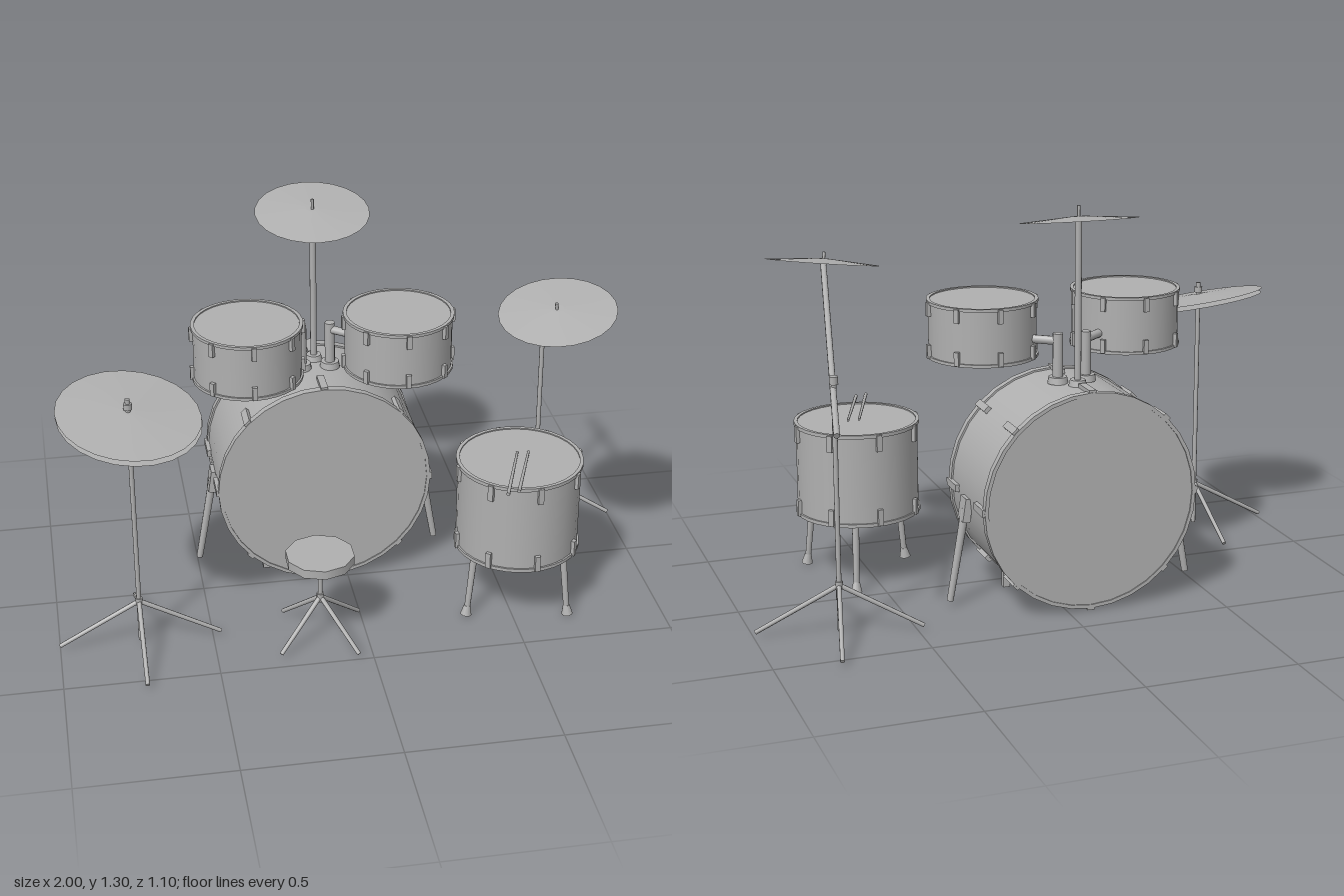
import * as THREE from 'three';

const grey = new THREE.MeshStandardMaterial({ color: 0xb0b0b0 });
grey.name = 'plain grey';
const V = (x, y, z) => new THREE.Vector3(x, y, z);
const UP = V(0, 1, 0);

function add(parent, geo, name, x = 0, y = 0, z = 0) {
  const m = new THREE.Mesh(geo, grey);
  m.name = name;
  m.position.set(x, y, z);
  parent.add(m);
  return m;
}

function group(parent, name, x = 0, y = 0, z = 0) {
  const g = new THREE.Group();
  g.name = name;
  g.position.set(x, y, z);
  parent.add(g);
  return g;
}

// Straight round bar between two points
function rod(parent, name, a, b, r0, r1 = r0, sides = 10) {
  const d = b.clone().sub(a);
  const m = add(parent, new THREE.CylinderGeometry(r1, r0, d.length(), sides), name);
  m.position.copy(a).addScaledVector(d, 0.5);
  m.quaternion.setFromUnitVectors(UP, d.normalize());
  return m;
}

// Drum along the y axis: shell with heads, two raised hoops and tension lugs
function drum(parent, name, r, h, hoop, lug, segs, turn = 0) {
  const g = group(parent, name);
  add(g, new THREE.CylinderGeometry(r - 0.006, r - 0.006, h - 0.008, segs), 'shell');
  const ring = new THREE.LatheGeometry([
    [r - 0.012, 0], [r, 0], [r, 0], [r, hoop], [r, hoop], [r - 0.012, hoop], [r - 0.012, hoop], [r - 0.012, 0],
  ].map(p => new THREE.Vector2(p[0], p[1])), segs);
  for (const s of [-1, 1]) {
    add(g, ring, 'hoop', 0, s > 0 ? h / 2 - hoop : -h / 2, 0);
    for (let i = 0; i < 8; i++) {
      const a = turn + i * Math.PI / 4;
      const m = add(g, new THREE.BoxGeometry(lug[0], lug[1], lug[2]), 'lug',
        Math.sin(a) * r, s * (h / 2 - lug[1] / 2 - 0.003), Math.cos(a) * r);
      m.rotation.y = a;
    }
  }
  return g;
}

// Shallow cone tilted so that height changes by a along x and b along z
function cymbal(parent, name, x, y, z, r, a, b, flip = false) {
  const g = group(parent, name, x, y, z);
  const h = 0.013;
  add(g, flip ? new THREE.CylinderGeometry(r, 0.03, h, 24) : new THREE.CylinderGeometry(0.02, r, h, 24), 'plate');
  g.quaternion.setFromUnitVectors(UP, V(-a, 1, -b).normalize());
  return g;
}

// Pole on four splayed legs
function stand(parent, name, x, z, top, hub, reach, turn) {
  const g = group(parent, name, x, 0, z);
  rod(g, 'pole', V(0, hub - 0.15 > 0.02 ? 0.02 : hub - 0.02, 0), V(0, top, 0), 0.008);
  add(g, new THREE.CylinderGeometry(0.012, 0.012, 0.025, 10), 'hub', 0, hub, 0);
  for (let i = 0; i < 4; i++) {
    const a = turn + i * Math.PI / 2;
    rod(g, 'leg', V(0, hub, 0), V(Math.cos(a) * reach, 0.024, Math.sin(a) * reach), 0.008, 0.007, 8);
  }
  return g;
}

export function createModel() {
  const root = new THREE.Group();
  root.name = 'drumKit';

  // Bass drum lying along z, with spurs and small feet
  const bx = -0.077, by = 0.375, bz = -0.187;
  const bass = group(root, 'bassDrum', bx, by, bz);
  drum(bass, 'bassBody', 0.361, 0.375, 0.026, [0.024, 0.092, 0.014], 32).rotation.x = Math.PI / 2;
  for (const s of [-1, 1]) {
    const bracket = add(bass, new THREE.BoxGeometry(0.025, 0.078, 0.055), 'spurBracket', s * 0.362, -0.042, 0.007);
    bracket.rotation.z = s * 0.15;
    rod(bass, 'spur', V(s * 0.362, -0.04, 0.007), V(s * 0.417, -0.35, 0.007), 0.014, 0.011);
    add(bass, new THREE.BoxGeometry(0.022, 0.065, 0.022), 'smallFoot', s * 0.195, -0.327, 0.095);
  }

  // Two hanging toms with their posts and arms
  for (const s of [-1, 1]) {
    const tx = bx + s * 0.249, tz = -0.026, px = bx + s * 0.048, pz = -0.187;
    const tom = drum(root, s < 0 ? 'rightTom' : 'leftTom', 0.182, 0.19, 0.01, [0.016, 0.045, 0.012], 32);
    tom.position.set(tx, 0.894, tz);
    const mount = group(root, 'tomMount');
    rod(mount, 'post', V(px, 0.72, pz), V(px, 0.89, pz), 0.017, 0.017, 12);
    add(mount, new THREE.CylinderGeometry(0.03, 0.034, 0.022, 16), 'flange', px, 0.737, pz);
    const end = V(tx - px, 0, tz - pz).multiplyScalar(0.4).add(V(px, 0.865, pz));
    rod(mount, 'arm', V(px, 0.865, pz), end, 0.014);
  }

  // Floor tom on three legs
  const fx = 0.532, fz = 0.226;
  drum(root, 'floorTom', 0.209, 0.315, 0.012, [0.018, 0.055, 0.012], 32, 0.09).position.set(fx, 0.393, fz);
  const legs = group(root, 'floorTomLegs', fx, 0, fz);
  for (const [x, z] of [[-0.185, 0.085], [0.15, 0.14], [0.065, -0.195]]) {
    rod(legs, 'leg', V(x * 0.85, 0.26, z * 0.85), V(x * 0.98, 0.03, z * 0.98), 0.012, 0.01);
    rod(legs, 'foot', V(x, 0.012, z), V(x * 0.975, 0.045, z * 0.975), 0.019, 0.011);
  }

  // Pair of sticks resting on the floor tom
  for (const o of [0, 0.038])
    rod(root, 'drumstick', V(0.432 + o, 0.562, 0.472 - o * 0.3), V(0.53 + o, 0.554, 0.2), 0.006, 0.004, 8);

  // Hi-hat
  stand(root, 'hiHatStand', -0.737, 0.284, 0.91, 0.17, 0.263, 0);
  cymbal(root, 'hiHatTop', -0.735, 0.861, 0.284, 0.228, -0.12, -0.18);
  cymbal(root, 'hiHatBottom', -0.735, 0.832, 0.284, 0.228, -0.12, -0.18, true);
  add(root, new THREE.CylinderGeometry(0.014, 0.014, 0.02, 10), 'hiHatClutch', -0.737, 0.885, 0.284);

  // Ride cymbal on a pole from the bass drum
  rod(root, 'ridePole', V(-0.075, 0.72, -0.245), V(-0.075, 1.265, -0.245), 0.011);
  rod(root, 'rideTip', V(-0.075, 1.25, -0.245), V(-0.075, 1.31, -0.245), 0.005);
  add(root, new THREE.CylinderGeometry(0.025, 0.03, 0.02, 14), 'rideFlange', -0.075, 0.738, -0.245);
  cymbal(root, 'rideCymbal', -0.075, 1.27, -0.25, 0.189, 0, -0.165);

  // Crash cymbal on a boom
  stand(root, 'crashStand', 0.738, -0.293, 0.835, 0.17, 0.264, 0.23);
  add(root, new THREE.CylinderGeometry(0.014, 0.014, 0.025, 10), 'boomClamp', 0.738, 0.83, -0.293);
  rod(root, 'boom', V(0.78, 0.71, -0.48), V(0.622, 1.075, 0.262), 0.01);
  rod(root, 'crashTip', V(0.624, 1.07, 0.257), V(0.618, 1.115, 0.262), 0.005);
  cymbal(root, 'crashCymbal', 0.625, 1.088, 0.255, 0.188, 0.125, -0.15);

  // Stool
  add(root, new THREE.CylinderGeometry(0.113, 0.113, 0.03, 10), 'stoolSeat', -0.152, 0.315, 0.35);
  stand(root, 'stoolStand', -0.152, 0.35, 0.305, 0.165, 0.178, 0.95);

  return root;
}
